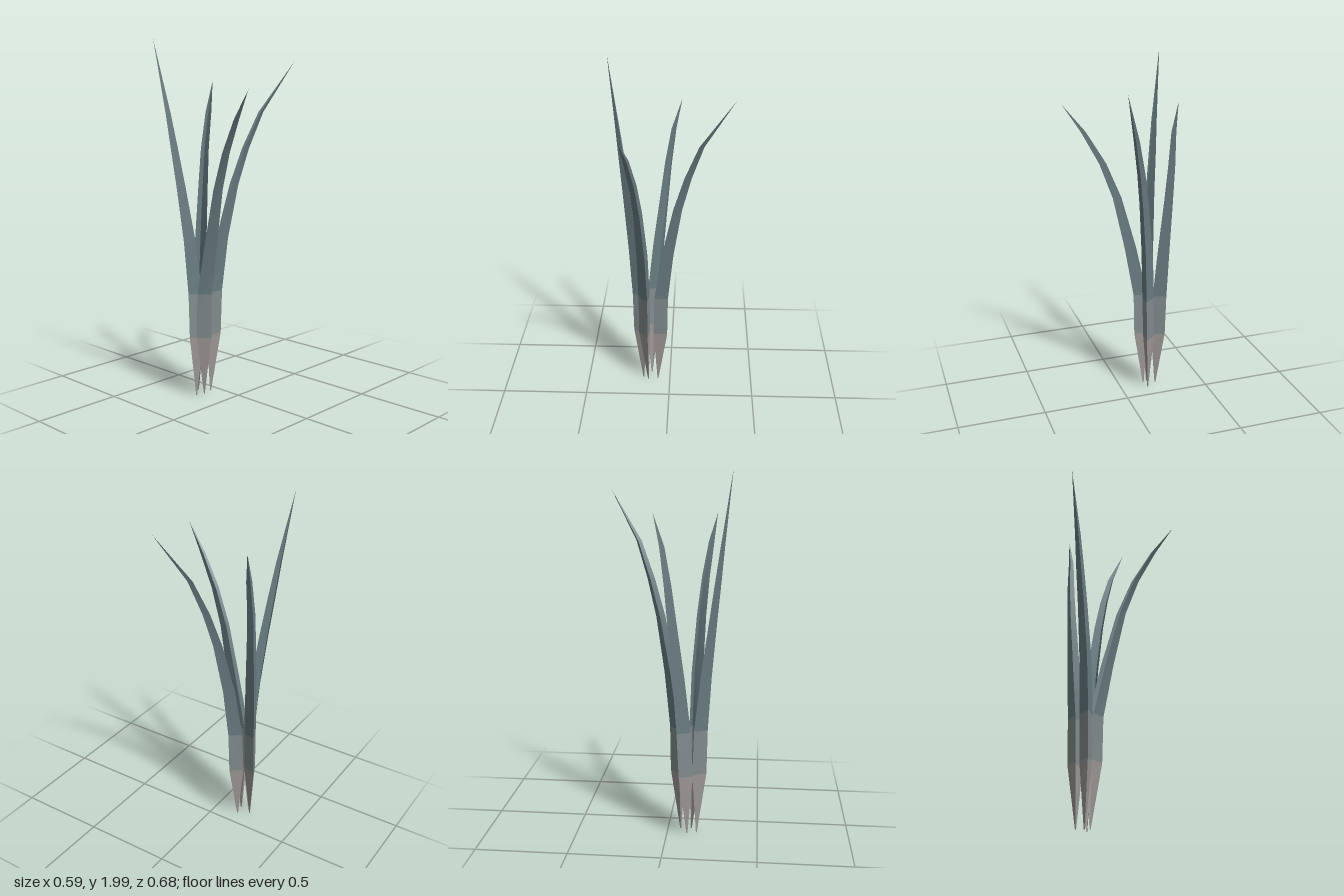
import * as THREE from 'three';

// Pale base, transition band and blue-green blade
const MATERIALS = [0x9c9896, 0x848d8f, 0x6a7e84].map(
  (color) => new THREE.MeshStandardMaterial({ color, side: THREE.DoubleSide })
);

// Half width and keel depth of the folded blade at each station, base to tip
const HALF = [0.003, 0.033, 0.034, 0.032, 0.026, 0.022, 0.016, 0];
const DEPTH = [0.005, 0.075, 0.072, 0.058, 0.042, 0.033, 0.022, 0];

// Each leaf: outward direction of its keel (x, z) and the keel line from base to tip
const LEAVES = [
  { name: 'frontLeaf', out: [0, 1], keel: [
    [-0.175, 0, 0.165], [-0.17, 0.35, 0.215], [-0.172, 0.6, 0.22], [-0.185, 0.9, 0.239],
    [-0.21, 1.2, 0.265], [-0.23, 1.4, 0.284], [-0.25, 1.6, 0.302], [-0.298, 1.99, 0.34]] },
  { name: 'backLeaf', out: [0.45, -0.9], keel: [
    [-0.15, 0.01, 0.07], [-0.125, 0.35, 0.015], [-0.118, 0.6, 0.01], [-0.1, 0.9, -0.022],
    [-0.066, 1.2, -0.07], [-0.032, 1.4, -0.12], [0.015, 1.6, -0.185], [0.11, 1.88, -0.34]] },
  { name: 'leftLeaf', out: [0.95, -0.3], keel: [
    [-0.14, 0.01, 0.13], [-0.085, 0.35, 0.13], [-0.08, 0.6, 0.13], [-0.028, 0.9, 0.138],
    [0.035, 1.2, 0.158], [0.106, 1.4, 0.178], [0.2, 1.58, 0.205], [0.295, 1.73, 0.24]] },
  { name: 'rightLeaf', out: [-0.74, -0.67], keel: [
    [-0.215, 0.01, 0.11], [-0.255, 0.35, 0.07], [-0.257, 0.6, 0.058], [-0.263, 0.9, 0.036],
    [-0.268, 1.2, 0.01], [-0.27, 1.4, -0.008], [-0.263, 1.6, -0.032], [-0.26, 1.77, -0.064]] },
];

// V-folded leaf: two strips from the keel to the edges, creased along the keel
function makeLeaf({ name, out, keel }) {
  const [ox, oz] = new THREE.Vector2(...out).normalize().toArray();
  const positions = [];
  const bands = [[], [], []];
  for (const s of [-1, 1]) {
    const start = positions.length / 3;
    keel.forEach(([x, y, z], i) => {
      const ex = x - ox * DEPTH[i] - s * oz * HALF[i];
      const ez = z - oz * DEPTH[i] + s * ox * HALF[i];
      positions.push(x, y, z, ex, y, ez);
    });
    for (let i = 0; i < keel.length - 1; i++) {
      const a = start + i * 2, b = a + 1, c = a + 2, d = a + 3;
      const band = bands[Math.min(i, 2)];
      if (s > 0) band.push(a, c, b, b, c, d);
      else band.push(a, b, c, b, d, c);
    }
  }
  const geometry = new THREE.BufferGeometry();
  geometry.setAttribute('position', new THREE.Float32BufferAttribute(positions, 3));
  geometry.setIndex(bands.flat());
  let offset = 0;
  bands.forEach((band, i) => {
    geometry.addGroup(offset, band.length, i);
    offset += band.length;
  });
  geometry.computeVertexNormals();
  const leaf = new THREE.Mesh(geometry, MATERIALS);
  leaf.name = name;
  return leaf;
}

export function createModel() {
  const plant = new THREE.Group();
  plant.name = 'leafTuft';
  LEAVES.forEach((leaf) => plant.add(makeLeaf(leaf)));
  return plant;
}
